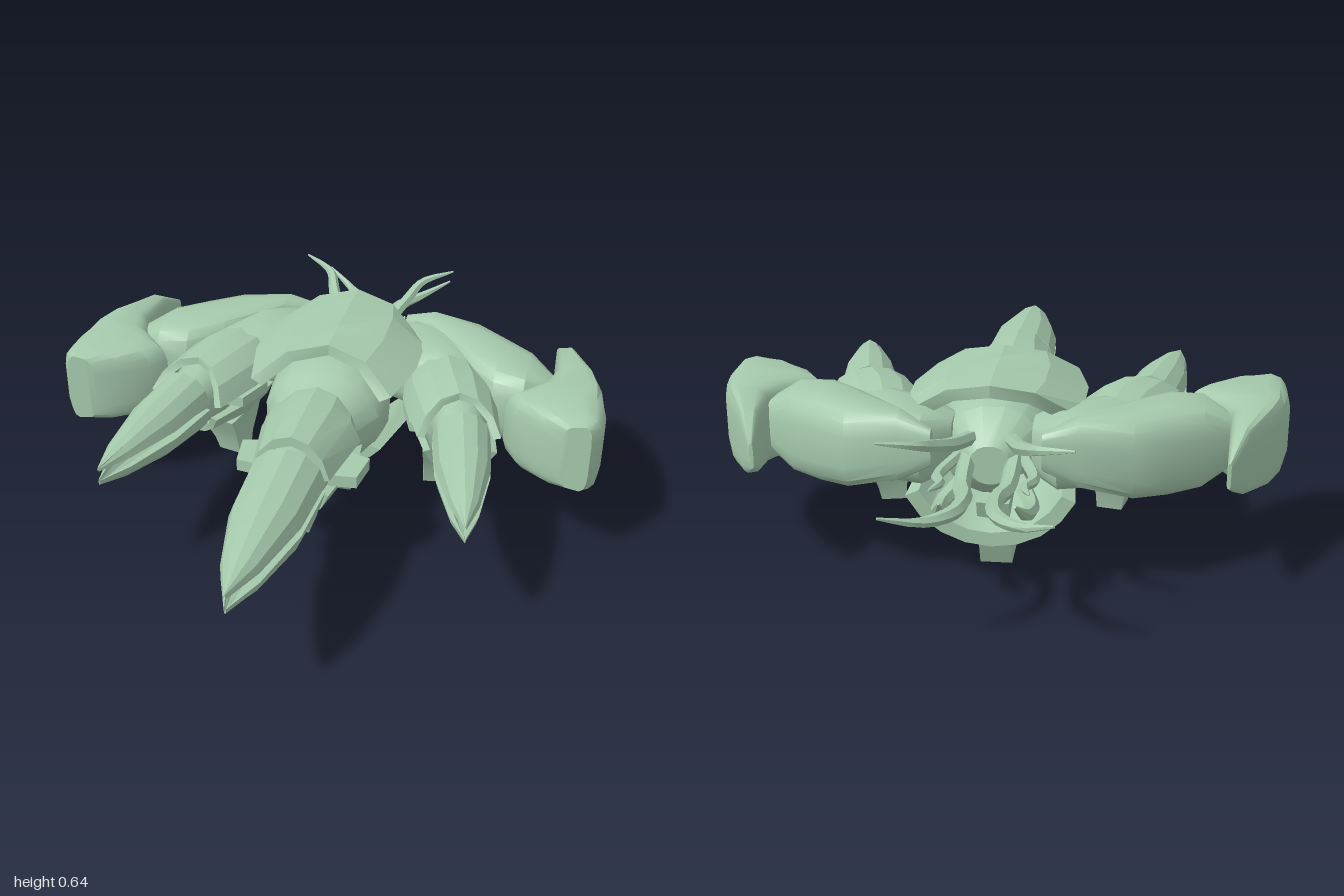
import * as THREE from 'three';
import { toCreasedNormals } from 'three/addons/utils/BufferGeometryUtils.js';

const hull = new THREE.MeshStandardMaterial({ color: 0xa6caad });
hull.name = 'pale green hull';

// Closed solid through a list of rings, with outward faces and creased normals.
function loft(name, rings, crease = 0.5) {
  const pos = [], idx = [], n = rings[0].length;
  rings.forEach(r => r.forEach(p => pos.push(...p)));
  const quad = (a, b, c, d) => idx.push(a, b, c, a, c, d);
  for (let k = 0; k < rings.length - 1; k++) {
    for (let i = 0; i < n; i++) {
      const j = (i + 1) % n, a = k * n, b = a + n;
      quad(a + i, a + j, b + j, b + i);
    }
  }
  const end = (rings.length - 1) * n;
  for (let i = 0; i < n / 2 - 1; i++) {
    quad(i, n - 1 - i, n - 2 - i, i + 1);
    quad(end + i, end + i + 1, end + n - 2 - i, end + n - 1 - i);
  }
  // Signed volume tells which way the corners run.
  const v = i => new THREE.Vector3().fromArray(pos, i * 3);
  const origin = v(0);
  let volume = 0;
  for (let i = 0; i < idx.length; i += 3) {
    const [a, b, c] = [0, 1, 2].map(q => v(idx[i + q]).sub(origin));
    volume += a.dot(b.cross(c));
  }
  if (volume < 0) idx.reverse();
  const geo = new THREE.BufferGeometry();
  geo.setAttribute('position', new THREE.Float32BufferAttribute(pos, 3));
  geo.setIndex(idx);
  const mesh = new THREE.Mesh(toCreasedNormals(geo, crease), hull);
  mesh.name = name;
  return mesh;
}

// Curved plate along z. Sections: [z, cx, cy, rx, ry, bow]; angles in degrees.
function shell(name, sections, from, to, steps, inner = 0.8, s = 1) {
  return loft(name, sections.map(([z, cx, cy, rx, ry, bow = 0]) => {
    const arc = f => Array.from({ length: steps + 1 }, (_, i) => {
      const a = THREE.MathUtils.degToRad(from + (to - from) * i / steps);
      const c = Math.cos(a);
      return [s * (cx + rx * f * c), cy + ry * f * Math.sin(a), z + bow * c * c];
    });
    return [...arc(1), ...arc(inner).reverse()];
  }), 0.35);
}

// Rounded-box ring in two axes, between low and high limits.
function roundRing(u0, u1, v0, v1, put, sides = 16, power = 0.6) {
  const soft = t => Math.sign(t) * Math.abs(t) ** power;
  return Array.from({ length: sides }, (_, i) => {
    const a = (i + 0.5) / sides * Math.PI * 2;
    return put((u0 + u1) / 2 + (u1 - u0) / 2 * soft(Math.cos(a)),
      (v0 + v1) / 2 + (v1 - v0) / 2 * soft(Math.sin(a)));
  });
}

// Rounded body along z: [z, x0, x1, y0, y1]; pinch thins the x0 side.
const bodyZ = (name, list, s = 1, power = 0.6, pinch = 0) => loft(name, list.map(
  ([z, x0, x1, y0, y1]) => roundRing(x0, x1, y0, y1, (x, y) => {
    const mid = (y0 + y1) / 2, k = 1 - pinch * ((x1 - x) / (x1 - x0)) ** 2;
    return [s * x, mid + (y - mid) * k, z];
  }, 16, power)), 0.6);

// Rounded body along x: [x, z0, z1, y0, y1]
const bodyX = (name, list, s) => loft(name, list.map(
  ([x, z0, z1, y0, y1]) => roundRing(z0, z1, y0, y1, (z, y) => [s * x, y, z])), 0.6);

// Fin hanging down: [y, z0, z1, half width, x]
const fin = (name, list, s = 1) => loft(name, list.map(([y, z0, z1, w, x = 0]) =>
  [[s * (x - w), y, z0], [s * (x + w), y, z0], [s * (x + w), y, z1], [s * (x - w), y, z1]]), 0.2);

// Tapered feeler through a few points.
function feeler(name, points, radius, s) {
  const curve = new THREE.CatmullRomCurve3(points.map(([x, y, z]) => new THREE.Vector3(s * x, y, z)));
  const side = new THREE.Vector3(1, 0, 0), rings = [];
  for (let k = 0; k <= 14; k++) {
    const t = k / 14, p = curve.getPoint(t), d = curve.getTangent(t);
    const up = d.clone().cross(side).normalize(), across = up.clone().cross(d);
    const r = radius * (1 - 0.85 * t ** 3);
    rings.push(Array.from({ length: 6 }, (_, i) => {
      const a = i / 6 * Math.PI * 2;
      return p.clone().addScaledVector(across, r * Math.cos(a))
        .addScaledVector(up, r * Math.sin(a)).toArray();
    }));
  }
  return loft(name, rings, 0.9);
}

// Split beak of an upper and a lower jaw, opening slightly toward the tip.
function beak(group, z, len, w, h, y, bend, s) {
  const steps = [[0, 1, 1], [0.39, 0.92, 0.8], [0.78, 0.48, 0.45], [1, 0.03, 0.14]];
  const jaws = [['upperJaw', h, 0.005, 0.022, 3, 177], ['lowerJaw', h * 1.15, -0.005, 0, 183, 357]];
  for (const [name, depth, offset, open, from, to] of jaws) {
    group.add(shell(name, steps.map(([t, fx, fy]) =>
      [z + t * len, bend * t, y + offset + open * t, w * fx, depth * fy]), from, to, 6, 0.65, s));
  }
}

function createModel() {
  const model = new THREE.Group();
  model.name = 'organicShip';

  // Central hull
  model.add(
    bodyZ('coreBody', [[-0.48, -0.06, 0.06, 0.33, 0.45], [-0.38, -0.15, 0.15, 0.26, 0.54],
      [-0.1, -0.2, 0.2, 0.23, 0.585], [0, -0.19, 0.19, 0.25, 0.56],
      [0.1, -0.125, 0.125, 0.29, 0.51], [0.43, -0.095, 0.095, 0.32, 0.51]], 1, 0.9),
    shell('carapace', [[-0.475, 0, 0.4, 0.28, 0.235, 0.13], [-0.36, 0, 0.4, 0.325, 0.238, 0.05],
      [-0.2, 0, 0.4, 0.33, 0.238, 0.05], [-0.075, 0, 0.4, 0.28, 0.235, 0.15]], 35, 145, 4, 0.84),
    shell('bellyPlate', [[-0.46, 0, 0.4, 0.28, 0.28, -0.02], [-0.2, 0, 0.4, 0.26, 0.21],
      [0.03, 0, 0.4, 0.22, 0.15]], 205, 335, 8, 0.84),
    shell('upperNeckPlate', [[0.055, 0, 0.4, 0.15, 0.155, 0.06], [0.14, 0, 0.4, 0.165, 0.162],
      [0.36, 0, 0.4, 0.125, 0.16, 0.015]], 12, 168, 6),
    shell('lowerNeckPlate', [[0.055, 0, 0.4, 0.15, 0.16], [0.14, 0, 0.4, 0.16, 0.155],
      [0.37, 0, 0.4, 0.12, 0.125]], 192, 348, 6),
    fin('rearKeel', [[0.24, -0.41, -0.1, 0.05], [0.12, -0.37, -0.135, 0.05],
      [0.035, -0.335, -0.155, 0.05], [0, -0.32, -0.19, 0.05]]),
    fin('frontKeel', [[0.29, 0.13, 0.34, 0.035], [0.24, 0.14, 0.31, 0.032], [0.2, 0.155, 0.29, 0.03],
      [0.15, 0.17, 0.275, 0.03]])
  );
  beak(model, 0.4, 0.595, 0.118, 0.115, 0.425, 0, 1);

  for (const s of [1, -1]) {
    const half = new THREE.Group();
    half.name = s > 0 ? 'leftSide' : 'rightSide';
    model.add(half);

    // Small plate beside the neck
    half.add(loft('neckSidePlate', [0.375, 0.415].map(y =>
      [[s * 0.1, y, 0.17], [s * 0.205, y, 0.2], [s * 0.19, y, 0.31], [s * 0.1, y, 0.32]]), 0.2));

    // Outer arm and hooked claw
    half.add(
      bodyX('armSegment', [[0.16, -0.565, -0.52, 0.41, 0.52], [0.26, -0.56, -0.44, 0.35, 0.56],
        [0.42, -0.54, -0.25, 0.3, 0.56], [0.52, -0.47, -0.16, 0.285, 0.56],
        [0.62, -0.4, -0.15, 0.29, 0.55], [0.705, -0.32, -0.22, 0.34, 0.5]], s),
      bodyZ('hookedClaw', [[-0.56, 0.683, 0.695, 0.38, 0.46], [-0.45, 0.69, 0.755, 0.32, 0.53],
        [-0.3, 0.7, 0.835, 0.285, 0.548], [-0.21, 0.665, 0.87, 0.27, 0.55],
        [-0.12, 0.57, 0.89, 0.265, 0.55], [-0.06, 0.61, 0.892, 0.265, 0.548],
        [0.0, 0.69, 0.888, 0.275, 0.545], [0.04, 0.77, 0.86, 0.295, 0.535]], s, 0.45, 0.12),
      bodyX('podRoot', [[0.12, -0.44, -0.28, 0.34, 0.5], [0.2, -0.54, -0.25, 0.32, 0.54],
        [0.32, -0.51, -0.2, 0.32, 0.55], [0.42, -0.36, -0.12, 0.33, 0.53]], s)
    );

    // Side pod with its own shells and beak
    const pod = new THREE.Group();
    pod.name = 'sidePod';
    pod.position.set(s * 0.43, 0.4, -0.1);
    pod.rotation.y = s * 0.22;
    half.add(pod);
    pod.add(
      bodyZ('podCore', [[-0.18, -0.11, 0.06, -0.08, 0.1], [0, -0.1, 0.09, -0.1, 0.12],
        [0.19, -0.07, 0.07, -0.08, 0.08]], s, 0.9),
      shell('podUpperShell', [[-0.21, -0.04, 0, 0.14, 0.14, 0.03], [-0.08, -0.03, 0, 0.155, 0.155],
        [0.05, -0.008, 0, 0.135, 0.14, 0.09]], 12, 168, 6, 0.82, s),
      shell('podLowerShell', [[-0.18, -0.04, 0, 0.12, 0.13], [-0.06, -0.02, 0, 0.14, 0.148],
        [0.09, 0, 0, 0.12, 0.12, 0.04]], 195, 345, 6, 0.82, s),
      fin('podFin', [[-0.1, -0.16, 0.03, 0.065, -0.05], [-0.16, -0.14, 0.0, 0.055, -0.055],
        [-0.21, -0.12, -0.02, 0.045, -0.06], [-0.255, -0.11, -0.03, 0.04, -0.065]], s),
      loft('podSideBar', [-0.02, 0.015].map(y =>
        [[s * -0.18, y, -0.1], [s * -0.05, y, -0.1], [s * -0.05, y, 0.05], [s * -0.16, y, 0.03]]), 0.2)
    );
    beak(pod, 0.125, 0.505, 0.092, 0.1, 0.014, -0.01, s);

    // Feelers at the back
    half.add(
      feeler('longFeeler', [[0.07, 0.4, -0.44], [0.065, 0.37, -0.6], [0.045, 0.38, -0.7],
        [0.06, 0.39, -0.83], [0.13, 0.4, -0.92], [0.23, 0.44, -0.995]], 0.026, s),
      feeler('upperFeeler', [[0.06, 0.46, -0.44], [0.1, 0.49, -0.58], [0.135, 0.52, -0.67],
        [0.17, 0.55, -0.75], [0.27, 0.575, -0.81]], 0.022, s),
      feeler('lowerFeeler', [[0.08, 0.33, -0.42], [0.13, 0.3, -0.55], [0.125, 0.32, -0.66],
        [0.105, 0.39, -0.77]], 0.025, s),
      feeler('shortFeeler', [[0.1, 0.4, -0.44], [0.14, 0.39, -0.57], [0.12, 0.4, -0.65],
        [0.14, 0.41, -0.73]], 0.018, s)
    );
  }
  return model;
}

export { createModel };
